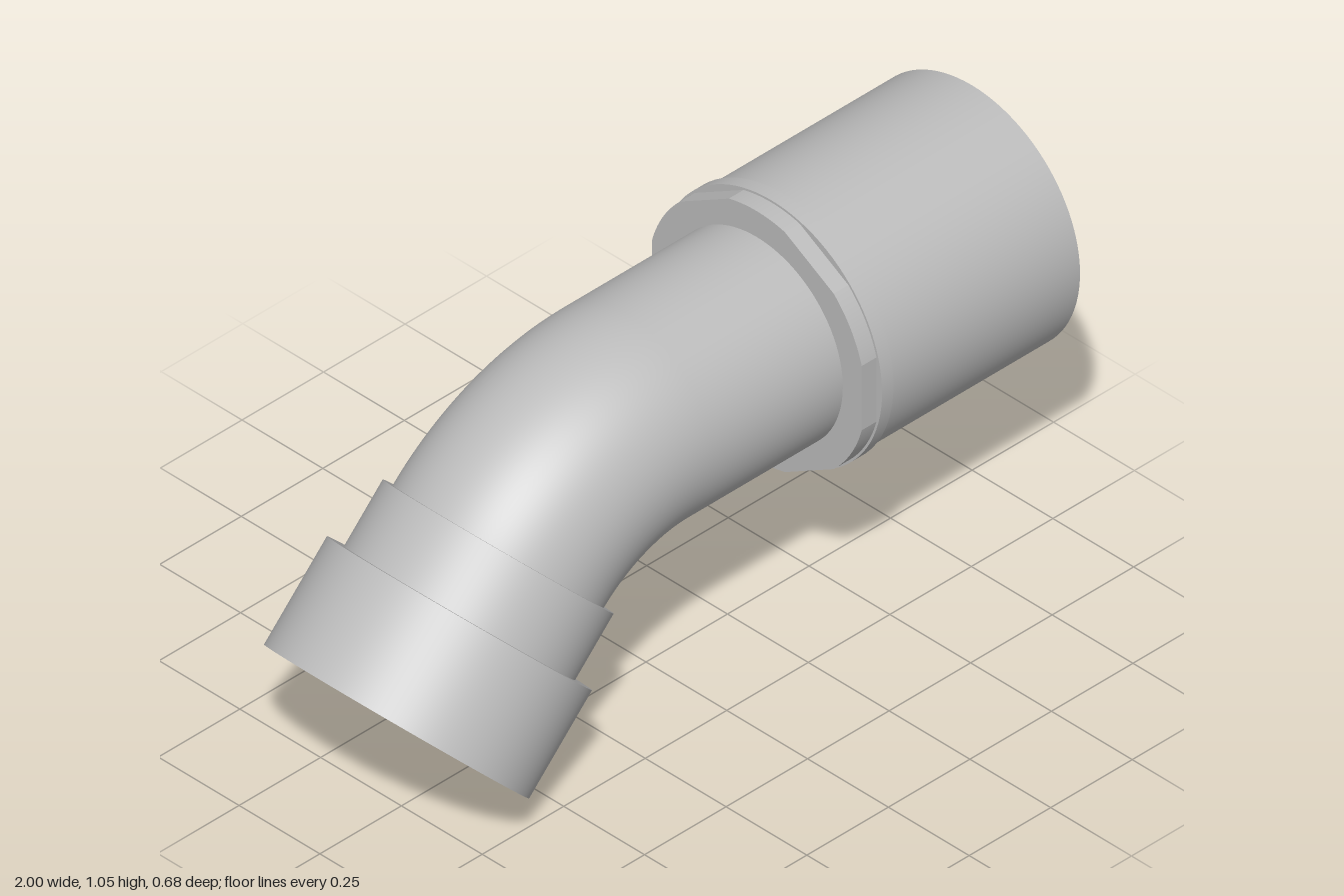
import * as THREE from 'three';
import { mergeGeometries } from 'three/addons/utils/BufferGeometryUtils.js';

const AXIS_Y = 0.71, OUTER = 0.266, BORE = 0.228;
const BEND_R = 0.564, BEND_X = -0.06, BEND_Y = AXIS_Y - BEND_R;

// Turned part: one lathe per profile segment, so every corner stays crisp
function turned(profile) {
  const strips = [];
  for (let i = 0; i < profile.length - 1; i++) {
    const pair = [profile[i], profile[i + 1]].map(([r, y]) => new THREE.Vector2(r, y));
    strips.push(new THREE.LatheGeometry(pair, 96));
  }
  return mergeGeometries(strips);
}

// Turn a surface inside out, for the bore
function inward(geometry) {
  const index = geometry.index.array;
  for (let i = 0; i < index.length; i += 3) {
    const t = index[i + 1];
    index[i + 1] = index[i + 2];
    index[i + 2] = t;
  }
  const n = geometry.attributes.normal;
  for (let i = 0; i < n.count; i++) n.setXYZ(i, -n.getX(i), -n.getY(i), -n.getZ(i));
  return geometry;
}

export function createModel() {
  const group = new THREE.Group();
  group.name = 'pipeElbow';
  const grey = new THREE.MeshStandardMaterial({ color: 0xbcbcbc });
  grey.name = 'grey';

  const add = (name, geometry, parent = group) => {
    const mesh = new THREE.Mesh(geometry, grey);
    mesh.name = name;
    parent.add(mesh);
    return mesh;
  };

  // 45 degree bend, outside and bore
  const bend = new THREE.Group();
  bend.name = 'bend';
  bend.position.set(BEND_X, BEND_Y, 0);
  bend.rotation.z = Math.PI / 2;
  group.add(bend);
  add('bendOuter', new THREE.TorusGeometry(BEND_R, OUTER, 96, 48, Math.PI / 4), bend);
  add('bendBore', inward(new THREE.TorusGeometry(BEND_R, BORE, 96, 48, Math.PI / 4)), bend);

  // Straight end: profile heights are x positions
  const straight = new THREE.Group();
  straight.name = 'straightEnd';
  straight.position.y = AXIS_Y;
  straight.rotation.z = -Math.PI / 2;
  group.add(straight);
  add('straightPipe', turned([
    [OUTER, BEND_X], [OUTER, 0.95], [BORE, 0.95], [BORE, BEND_X],
  ]), straight);
  add('couplingSleeve', turned([
    [OUTER, 0.385], [0.342, 0.385], [0.342, 0.42], [0.334, 0.42], [0.334, 1],
    [0.318, 1], [0.287, 0.45], [OUTER, 0.45],
  ]), straight);

  // Grip ring: a circle with six flats
  const outline = new THREE.Shape();
  for (let k = 0; k < 6; k++) {
    const mid = Math.PI / 6 + k * Math.PI / 3;
    outline.absarc(0, 0, 0.336, mid - Math.PI / 12, mid + Math.PI / 12, false);
  }
  outline.closePath();
  const hole = new THREE.Path();
  hole.absarc(0, 0, OUTER, 0, Math.PI * 2, true);
  outline.holes.push(hole);
  const grip = add('gripRing', new THREE.ExtrudeGeometry(outline, {
    depth: 0.045, bevelEnabled: false, curveSegments: 24,
  }));
  grip.rotation.y = Math.PI / 2;
  grip.position.set(0.34, AXIS_Y, 0);

  // Angled end: stepped collar and open socket along the bend's outgoing axis
  const angled = add('angledSocket', turned([
    [0.26, -0.008], [0.291, -0.008], [0.291, 0.16], [0.334, 0.16], [0.334, 0.433],
    [0.318, 0.433], [0.287, 0.19], [BORE, 0.19], [BORE, 0],
  ]));
  const c = BEND_R * Math.SQRT1_2;
  angled.position.set(BEND_X - c, BEND_Y + c, 0);
  angled.rotation.z = Math.PI * 0.75;

  return group;
}
